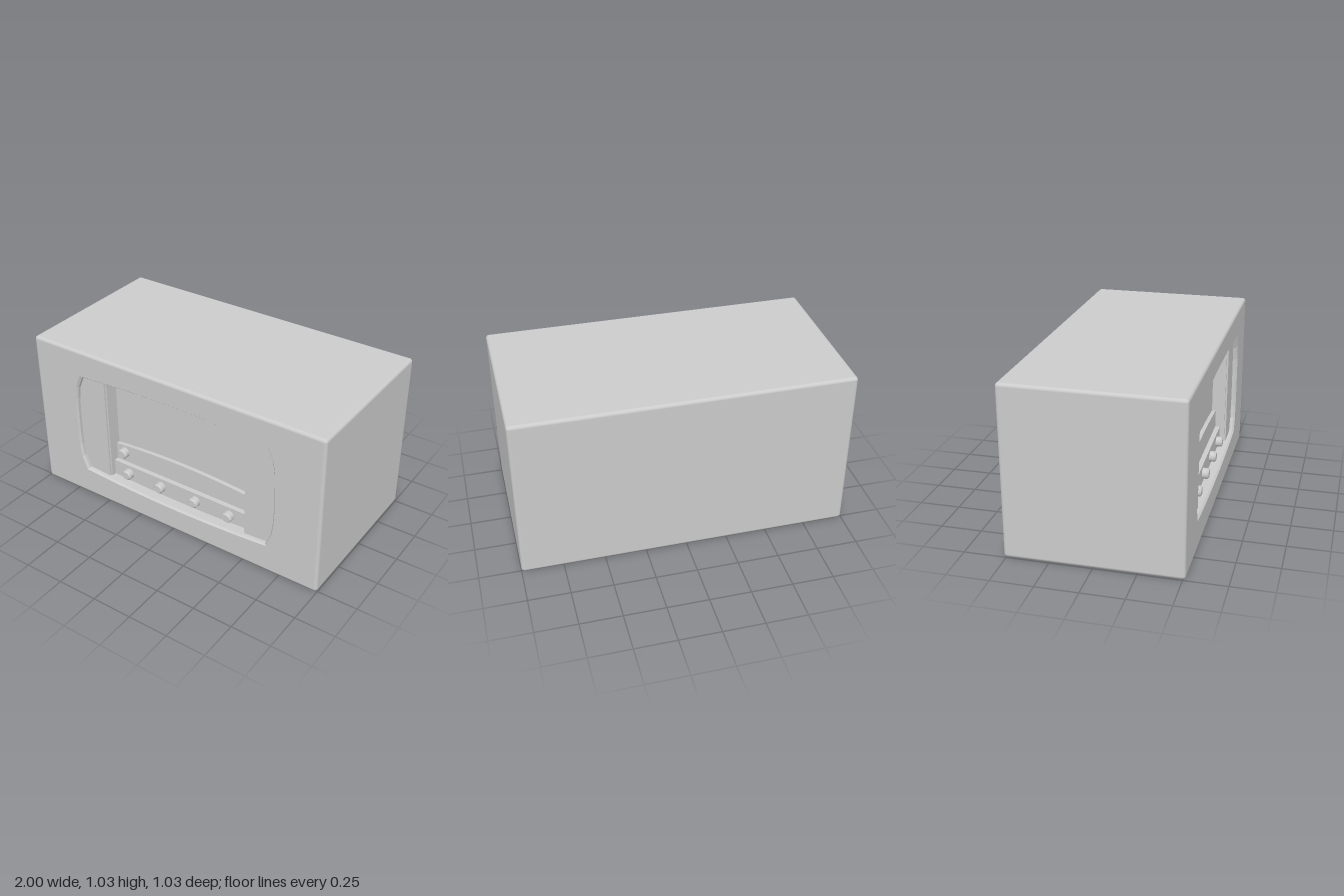
import * as THREE from 'three';
import { RoundedBoxGeometry } from 'three/addons/geometries/RoundedBoxGeometry.js';

const W = 2, H = 1.03, D = 1.03, R = 0.02;
const FRONT = D / 2, PANEL_Z = 0.485, BACK_Z = 0.39, CY = 0.521;
const material = new THREE.MeshStandardMaterial({ color: 0xcccccc });
const openMaterial = new THREE.MeshStandardMaterial({ color: 0xcccccc, side: THREE.DoubleSide, flatShading: true });

// Barrel-shaped opening outline, counter-clockwise, shrunk by an inset
function outline(inset = 0) {
  const topY = x => 0.367 - 0.027 * (x / 0.66) ** 2;
  const sideX = y => 0.71 - 0.05 * (Math.abs(y) / 0.34) ** 4;
  const half = [];
  for (let i = 0; i < 8; i++) {
    const y = -0.34 + 0.68 * i / 8;
    half.push([sideX(y), y]);
  }
  for (let i = 0; i < 16; i++) {
    const x = 0.66 - 1.32 * i / 16;
    half.push([x, topY(x)]);
  }
  const all = [...half, ...half.map(([x, y]) => [-x, -y])];
  return all.map(([x, y]) => new THREE.Vector2(x * (1 - inset / 0.71), CY + y * (1 - inset / 0.367)));
}

// Skin joining equal-length rings of points
function loft(rings) {
  const n = rings[0].points.length, pos = [], index = [];
  for (const { points, z } of rings) for (const p of points) pos.push(p.x, p.y, z);
  for (let r = 0; r < rings.length - 1; r++) {
    for (let i = 0; i < n; i++) {
      const a = r * n + i, b = r * n + (i + 1) % n;
      index.push(a, b, b + n, a, b + n, a + n);
    }
  }
  const g = new THREE.BufferGeometry();
  g.setAttribute('position', new THREE.Float32BufferAttribute(pos, 3));
  g.setIndex(index);
  g.computeVertexNormals();
  return g;
}

// Rounded box without its flat front face
function casingGeometry() {
  const box = new RoundedBoxGeometry(W, H, D, 3, R);
  const src = box.index ? box.toNonIndexed() : box;
  const p = src.attributes.position, nrm = src.attributes.normal, pos = [], nor = [];
  for (let i = 0; i < p.count; i += 3) {
    if ([0, 1, 2].every(k => p.getZ(i + k) > FRONT - 1e-4)) continue;
    for (let k = i; k < i + 3; k++) {
      pos.push(p.getX(k), p.getY(k) + H / 2, p.getZ(k));
      nor.push(nrm.getX(k), nrm.getY(k), nrm.getZ(k));
    }
  }
  const g = new THREE.BufferGeometry();
  g.setAttribute('position', new THREE.Float32BufferAttribute(pos, 3));
  g.setAttribute('normal', new THREE.Float32BufferAttribute(nor, 3));
  return g;
}

export function createModel() {
  const model = new THREE.Group();
  const add = (name, geometry, x = 0, y = 0, z = 0, mat = material) => {
    const mesh = new THREE.Mesh(geometry, mat);
    mesh.name = name;
    mesh.position.set(x, y, z);
    model.add(mesh);
    return mesh;
  };

  // Casing and its pierced front
  add('casing', casingGeometry());
  const w = W / 2 - R;
  const face = new THREE.Shape([[-w, R], [w, R], [w, H - R], [-w, H - R]].map(p => new THREE.Vector2(...p)));
  face.holes.push(new THREE.Path(outline().reverse()));
  add('frontFace', new THREE.ShapeGeometry(face), 0, 0, FRONT);

  // Chamfered rim running back to the rear wall of the recess
  const inner = outline(0.01);
  add('openingRim', loft([
    { points: outline(), z: FRONT },
    { points: inner, z: FRONT - 0.012 },
    { points: inner, z: BACK_Z },
  ]), 0, 0, 0, openMaterial);
  add('recessBack', new THREE.ShapeGeometry(new THREE.Shape(inner)), 0, 0, BACK_Z);

  // Curved side panels with a slim trim strip along their inner edges
  for (const s of [-1, 1]) {
    const edge = 0.5;
    const pts = inner.filter(p => p.x * s > edge);
    const ends = [0.171, 0.871].map(y => new THREE.Vector2(s * edge, y));
    // Sorting by angle about the panel's middle keeps the outline in order
    const ordered = [...pts, ...ends].sort((a, b) =>
      Math.atan2(a.y - CY, a.x - s * 0.6) - Math.atan2(b.y - CY, b.x - s * 0.6));
    const panel = new THREE.ExtrudeGeometry(new THREE.Shape(ordered),
      { depth: PANEL_Z - BACK_Z, bevelEnabled: false });
    const side = s > 0 ? 'left' : 'right';
    add(side + 'Panel', panel, 0, 0, BACK_Z);
    add(side + 'Trim', new THREE.BoxGeometry(0.01, 0.702, 0.085), s * 0.495, CY, BACK_Z + 0.0425);
  }

  // Stepped control strips: arched upper one, straight lower one
  const arch = new THREE.Shape();
  arch.moveTo(-0.49, 0.2);
  arch.lineTo(0.49, 0.2);
  arch.lineTo(0.49, 0.39);
  arch.quadraticCurveTo(0, 0.44, -0.49, 0.39);
  add('upperStrip', new THREE.ExtrudeGeometry(arch, { depth: 0.025, bevelEnabled: false, curveSegments: 10 }), 0, 0, BACK_Z);
  add('lowerStrip', new THREE.BoxGeometry(0.98, 0.12, 0.055), 0, 0.22, BACK_Z + 0.0275);

  // Knobs with a chamfered front edge
  const knob = new THREE.LatheGeometry(
    [[0.033, 0], [0.033, 0.03], [0.025, 0.04], [0, 0.04]].map(p => new THREE.Vector2(...p)), 16);
  knob.rotateX(Math.PI / 2);
  const knobMaterial = new THREE.MeshStandardMaterial({ color: 0xcccccc, flatShading: true });
  for (const x of [-0.375, -0.13, 0.125, 0.367]) add('lowerKnob', knob, x, 0.226, 0.445, knobMaterial);
  add('upperKnob', knob, -0.425, 0.349, 0.415, knobMaterial);

  return model;
}
